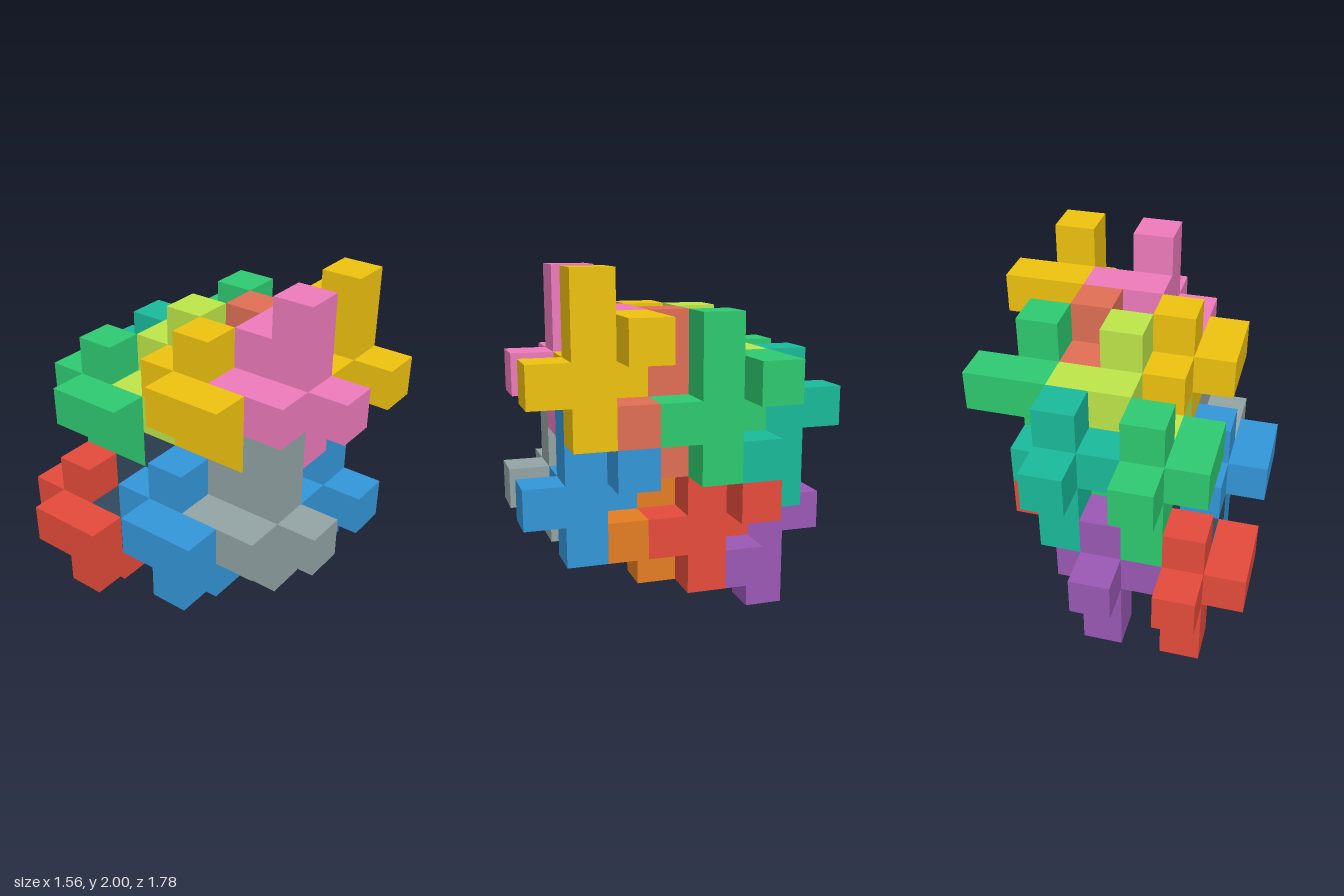
import * as THREE from 'three';
import { mergeGeometries } from 'three/addons/utils/BufferGeometryUtils.js';

const U = 2 / 9; // edge of one cube

// Box of w x h x d cubes, centred at (x, y, z) in cube units
function block(w, h, d, x, y, z) {
  return new THREE.BoxGeometry(w * U, h * U, d * U).translate(x * U, y * U, z * U);
}

// One nine-cube puzzle piece around its hub cube
function pieceGeometry() {
  return mergeGeometries([
    block(1, 4, 1, 0, 0.5, 0),     // column
    block(1, 1, 1, 0, 0, 1),       // front stub
    block(1, 1, 2, -1, 0, -0.5),   // side bar
    block(2, 1, 1, 0.5, 1, -1),    // rear bar
  ]);
}

// Name, colour and hub cell [x, y, z] of each piece
const UPRIGHT = [
  ['yellowFrontPiece', 0xf1c40f, [5, 6, 6]],
  ['pinkPiece', 0xf07cbe, [3, 6, 6]],
  ['blueFrontPiece', 0x3498db, [4, 3, 6]],
  ['greyPiece', 0x95a5a6, [2, 3, 6]],
  ['greenSidePiece', 0x2ecc71, [5, 5, 3]],
  ['limePiece', 0xbfe84a, [3, 5, 3]],
  ['redSidePiece', 0xe74c3c, [4, 2, 3]],
  ['darkCorePiece', 0x34495e, [2, 2, 3]],
];
const INVERTED = [
  ['salmonPiece', 0xe17055, [4, 6, 4]],
  ['yellowRearPiece', 0xf1c40f, [2, 6, 4]],
  ['orangePiece', 0xe67e22, [3, 3, 4]],
  ['blueSidePiece', 0x3498db, [1, 3, 4]],
  ['tealPiece', 0x1abc9c, [4, 5, 1]],
  ['greenRearPiece', 0x2ecc71, [2, 5, 1]],
  ['purplePiece', 0x9b59b6, [3, 2, 1]],
  ['redRearPiece', 0xe74c3c, [1, 2, 1]],
];

export function createModel() {
  const model = new THREE.Group();
  model.name = 'interlockingCubePuzzle';
  const upright = pieceGeometry();
  const inverted = pieceGeometry().rotateX(Math.PI); // half turn about x

  for (const [list, geometry] of [[UPRIGHT, upright], [INVERTED, inverted]]) {
    for (const [name, color, [x, y, z]] of list) {
      const mesh = new THREE.Mesh(geometry, new THREE.MeshStandardMaterial({ color }));
      mesh.name = name;
      mesh.position.set((x - 3) * U, (y + 0.5) * U, (z - 3.5) * U);
      model.add(mesh);
    }
  }
  return model;
}
